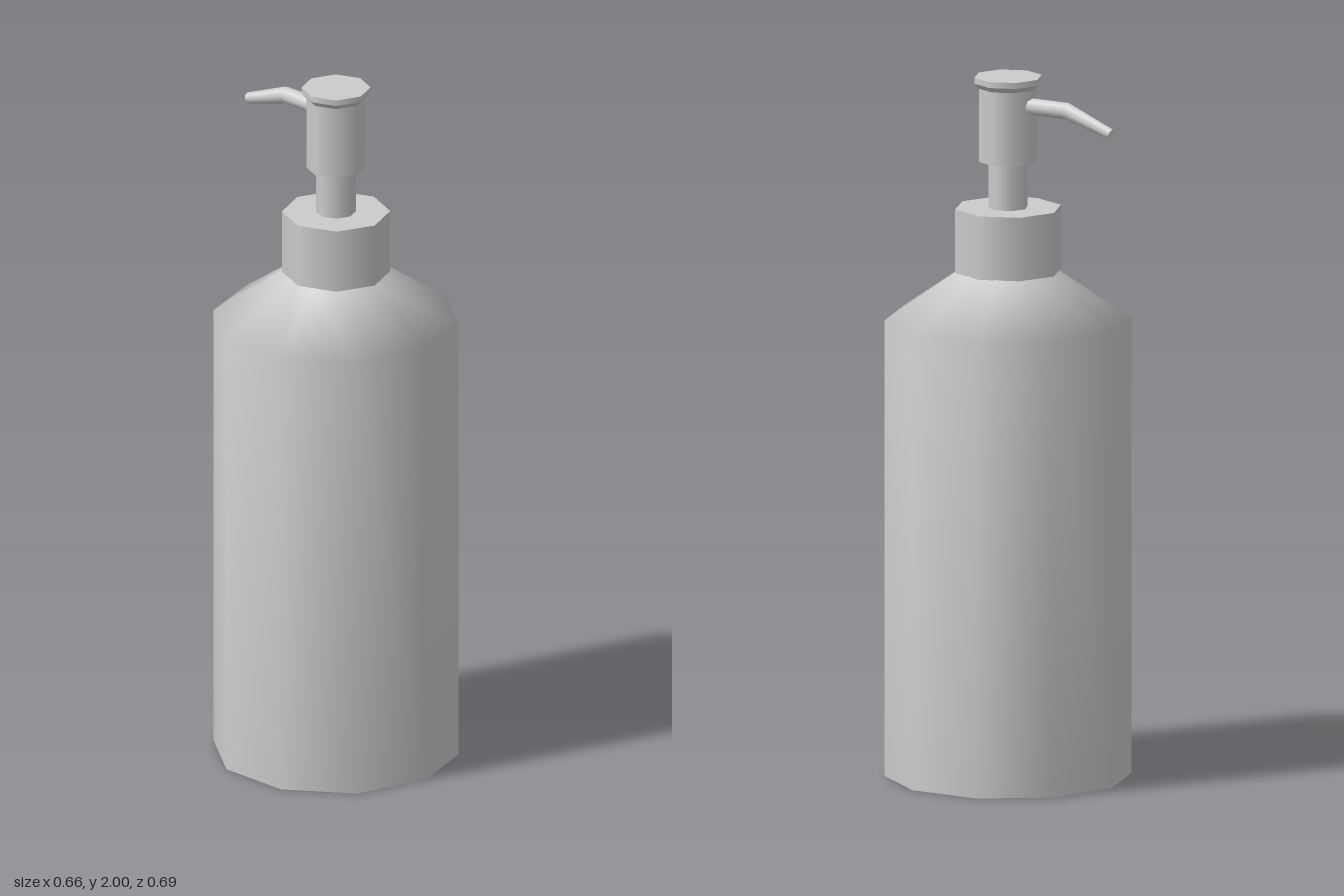
import * as THREE from 'three';

export function createModel() {
  const model = new THREE.Group();
  model.name = 'soapDispenser';
  const grey = new THREE.MeshStandardMaterial({ color: 0xcccccc });
  grey.name = 'grey';
  const axisZ = 0.003; // the spout overhangs slightly, so the bottle axis sits forward

  const add = (name, geometry, y = 0) => {
    const mesh = new THREE.Mesh(geometry, grey);
    mesh.name = name;
    mesh.position.set(0, y, axisZ);
    model.add(mesh);
    return mesh;
  };
  const drum = (name, rTop, rBottom, y0, y1) =>
    add(name, new THREE.CylinderGeometry(rTop, rBottom, y1 - y0, 8), (y0 + y1) / 2);

  // Ten-sided bottle with a smooth shoulder and a flat base
  const profile = [[0.347, 0], [0.347, 1.305], [0.14, 1.445]].map(p => new THREE.Vector2(...p));
  add('bottle', new THREE.LatheGeometry(profile, 10));
  const base = new THREE.CircleGeometry(0.347, 10, Math.PI / 2);
  base.rotateX(Math.PI / 2);
  add('base', base);

  // Eight-sided collar, stem and pump head
  drum('collar', 0.152, 0.152, 1.443, 1.625);
  drum('stem', 0.056, 0.056, 1.6, 1.78);
  drum('pumpHead', 0.083, 0.083, 1.758, 1.975);
  drum('headFlare', 0.097, 0.083, 1.968, 1.983);
  drum('headRim', 0.097, 0.097, 1.983, 2);

  // Tapered, bent spout pointing to the back: rings from head to tip
  const rings = [
    { y: 1.922, z: -0.06, r: 0.024, tilt: 0 },
    { y: 1.922, z: -0.195, r: 0.024, tilt: -0.2 },
    { y: 1.871, z: -0.342, r: 0.015, tilt: -0.4 },
  ];
  const spout = new THREE.CylinderGeometry(1, 1, 2, 8, 2);
  spout.rotateX(-Math.PI / 2);
  const pos = spout.attributes.position;
  for (let i = 0; i < pos.count; i++) {
    const ring = rings[Math.round(1 - pos.getZ(i))];
    const up = pos.getY(i) * ring.r;
    pos.setXYZ(i, pos.getX(i) * ring.r, ring.y + up, ring.z + ring.tilt * up);
  }
  add('spout', spout);

  return model;
}
